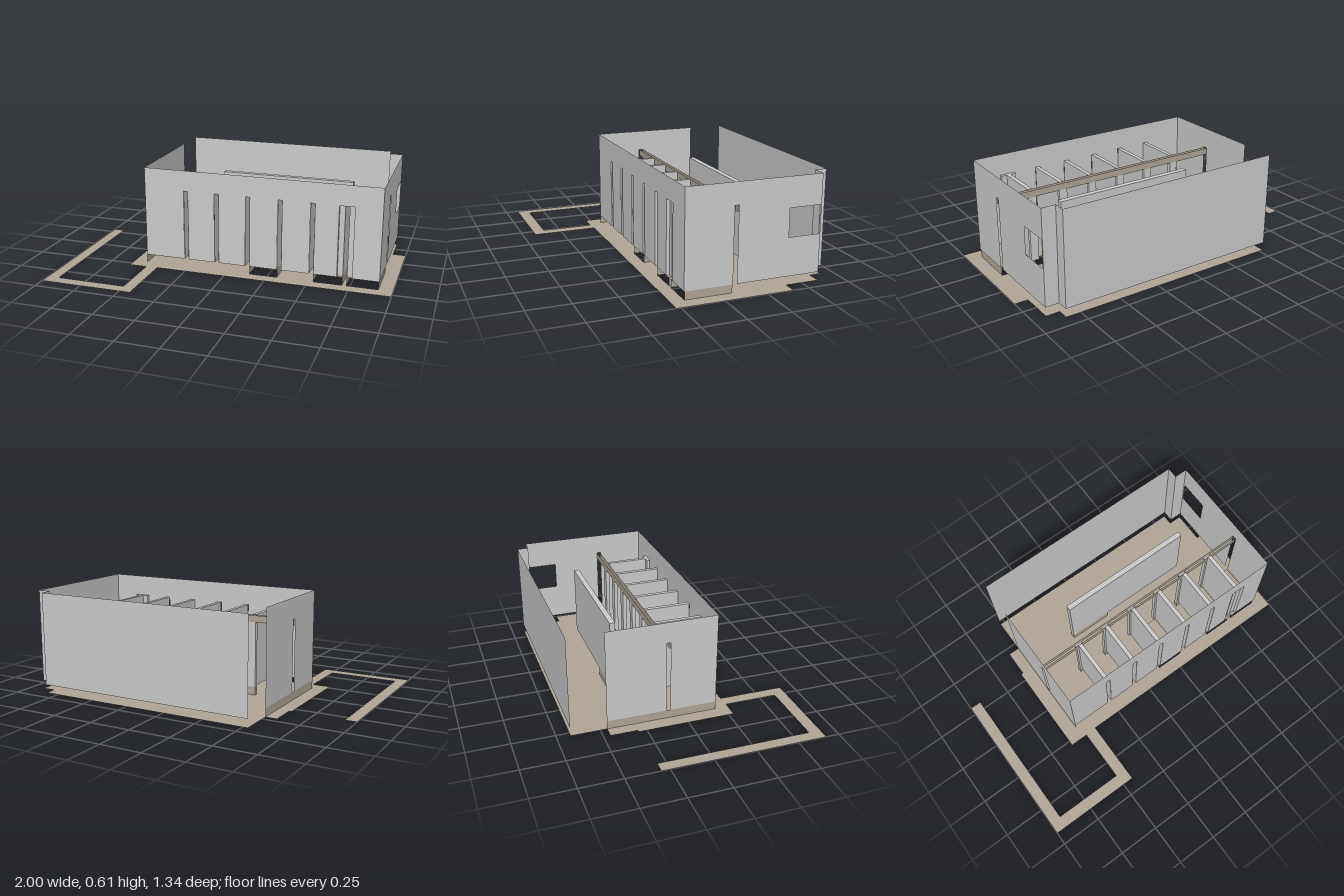
import * as THREE from 'three';

export function createModel() {
  const model = new THREE.Group();
  const wallGrey = new THREE.MeshStandardMaterial({ name: 'wallGrey', color: 0xcccccc, side: THREE.DoubleSide });
  const stoneBrown = new THREE.MeshStandardMaterial({ name: 'stoneBrown', color: 0xb0a698, side: THREE.DoubleSide });

  // Flat sheet across one axis: points are (x,y) for 'z', (z,y) for 'x', (x,z) for 'y'
  function sheet(name, material, axis, offset, points, holes = []) {
    const toVec = ([a, b]) => new THREE.Vector2(axis === 'x' ? -a : a, axis === 'y' ? -b : b);
    const shape = new THREE.Shape(points.map(toVec));
    holes.forEach(h => shape.holes.push(new THREE.Path(h.map(toVec))));
    const mesh = new THREE.Mesh(new THREE.ShapeGeometry(shape), material);
    if (axis === 'x') mesh.rotation.y = Math.PI / 2;
    if (axis === 'y') mesh.rotation.x = -Math.PI / 2;
    mesh.position[axis] = offset;
    mesh.name = name;
    model.add(mesh);
  }
  const rect = (a0, a1, b0, b1) => [[a0, b0], [a1, b0], [a1, b1], [a0, b1]];

  const base = 0.05, top = 0.612, low = 0.485, door = 0.445;
  const left = -0.53, right = 0.92, front = 0.2, back = -0.672;
  const beamFront = -0.085, beamBack = -0.108;
  const half = 0.0125;
  const partitions = [-0.265, -0.07, 0.125, 0.322, 0.517, 0.715];

  // Ground slab with the long open path on the right-hand side of the house
  const raised = [[0.138, 0.309], [0.53, 0.702], [0.728, 0.915]];
  sheet('groundSlab', stoneBrown, 'y', 0, [
    [-0.615, 0.28], [-0.505, 0.28], [-0.505, 0.6], [-0.93, 0.6], [-0.93, -0.3], [-1, -0.3],
    [-1, 0.672], [-0.433, 0.672], [-0.433, 0.275], [1, 0.275], [1, -0.405], [right, -0.405],
    [right, -0.605], [0.838, -0.605], [0.838, back], [left, back], [left, -0.46],
    [-0.6, -0.46], [-0.6, -0.3], [-0.615, -0.3],
  ], [...raised.map(([a, b]) => rect(a, b, -0.08, 0.195)), rect(-0.19, 0.08, -0.335, -0.302)]);

  // Raised floors in some of the small rooms
  raised.forEach(([a, b]) => {
    sheet('raisedFloor', stoneBrown, 'y', base, rect(a, b, -0.08, front));
    for (const x of [a, b]) sheet('floorRiser', stoneBrown, 'x', x, rect(-0.08, 0.195, 0, base));
  });

  // Front wall, notched where each partition meets it
  const frontOutline = [[left, top], [left, base]];
  partitions.forEach((x, i) => {
    const w = i === 5 ? 0.045 : 0.0135;
    frontOutline.push([x - w, base], [x - w, low], [x + w, low], [x + w, base]);
  });
  frontOutline.push([right, base], [right, top]);
  sheet('frontWall', wallGrey, 'z', front, frontOutline);

  // Side walls with slots at the beam; the +x wall has a window
  const sideOutline = end => [[front, top], [front, base], [-0.081, base], [-0.081, low],
    [-0.105, low], [-0.105, base], [end, base], [end, top]];
  sheet('leftWall', wallGrey, 'x', right, sideOutline(-0.602), [rect(-0.593, -0.408, 0.273, 0.437)]);
  sheet('rightWall', wallGrey, 'x', left, sideOutline(-0.46));
  sheet('rightWallFooting', stoneBrown, 'x', left, rect(-0.46, front, 0, base));

  // Back wall and its stepped corner
  sheet('backWall', wallGrey, 'z', back, rect(left, 0.838, base, top));
  sheet('cornerReturn', wallGrey, 'x', 0.838, rect(back, -0.602, base, top));
  sheet('cornerWall', wallGrey, 'z', -0.602, rect(0.838, right, base, top));

  // Hollow room partitions with capped tops
  partitions.forEach((x, i) => {
    const end = i === 5 ? 0.18 : front;
    for (const s of [-1, 1]) sheet('partitionSide', wallGrey, 'x', x + s * half, rect(beamFront, end, base, low));
    sheet('partitionTop', wallGrey, 'y', low, rect(x - half, x + half, beamFront, end));
  });

  // Wider pier where the last partition meets the front wall
  const pier = partitions[5];
  sheet('pierTop', wallGrey, 'y', low, rect(pier - 0.045, pier + 0.045, 0.18, front));
  for (const s of [-1, 1]) {
    sheet('pierSide', wallGrey, 'x', pier + s * 0.045, rect(0.18, front, base, low));
    sheet('pierBack', wallGrey, 'z', 0.18, rect(...[pier + s * half, pier + s * 0.045].sort((a, b) => a - b), base, low));
  }

  // Long door beam, open at top and ends, on posts
  for (const z of [beamFront, beamBack]) sheet('doorBeam', stoneBrown, 'z', z, rect(left, right, door, low));
  partitions.forEach((x, i) => {
    const a = x - 0.025, b = x + 0.025;
    const parts = [[wallGrey, base, door, 'post']];
    if ([0, 1, 4].includes(i)) parts.push([stoneBrown, 0, base, 'postFooting']);
    for (const [material, y0, y1, name] of parts) {
      for (const z of [beamFront, beamBack]) sheet(name, material, 'z', z, rect(a, b, y0, y1));
      for (const px of [a, b]) sheet(name, material, 'x', px, rect(beamBack, beamFront, y0, y1));
    }
  });

  // Free-standing wall in the main room
  const x0 = -0.19, x1 = 0.66, z0 = -0.335, z1 = -0.302;
  sheet('innerWallTop', wallGrey, 'y', low, rect(x0, x1, z0, z1));
  for (const z of [z0, z1]) {
    sheet('innerWallFace', wallGrey, 'z', z, rect(x0, x1, base, low));
    sheet('innerWallFooting', stoneBrown, 'z', z, rect(x0, 0.08, 0, base));
  }
  for (const x of [x0, x1]) sheet('innerWallEnd', wallGrey, 'x', x, rect(z0, z1, base, low));
  sheet('innerWallFooting', stoneBrown, 'x', x0, rect(z0, z1, 0, base));

  return model;
}
